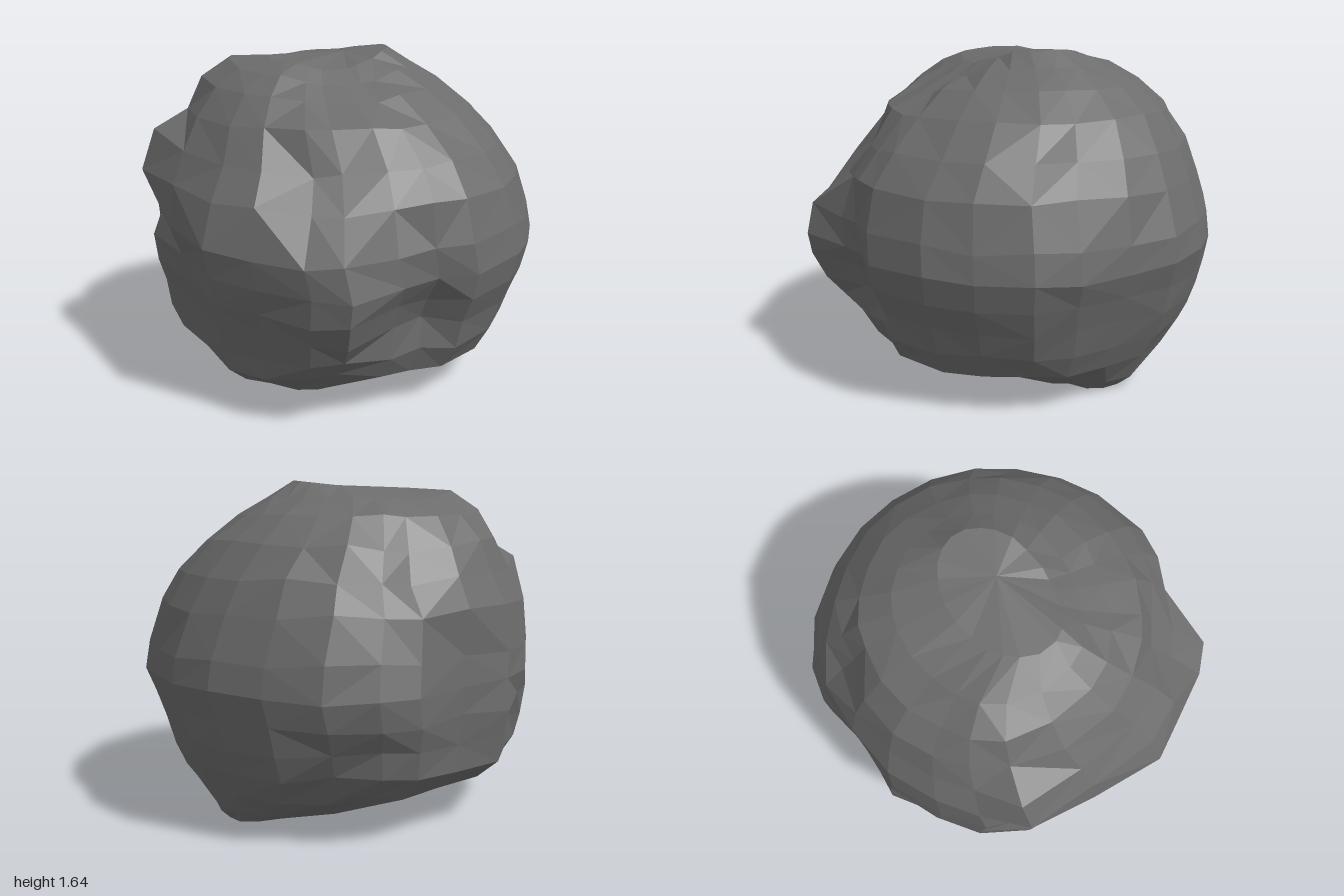
import * as THREE from 'three';

// Plan outline (x, z), counterclockwise seen from above
const OUTLINE = [
  [0.19, 1.0], [0.42, 0.91], [0.68, 0.82], [0.83, 0.72], [0.82, 0.4], [0.86, 0.22],
  [0.95, 0.05], [0.92, -0.28], [0.82, -0.5], [0.67, -0.72], [0.5, -0.84], [0.25, -0.92],
  [0, -1], [-0.25, -0.98], [-0.5, -0.88], [-0.73, -0.74], [-0.88, -0.55], [-0.94, -0.36],
  [-0.91, -0.05], [-0.95, 0.25], [-0.85, 0.52], [-0.72, 0.72], [-0.52, 0.87], [-0.18, 0.91],
];

// Horizontal sections: y, x min, x max, z min, z max
const SECTIONS = [
  [0.03, -0.27, 0.27, -0.68, 0.38],
  [0.08, -0.48, 0.45, -0.74, 0.72],
  [0.2, -0.78, 0.76, -0.82, 0.86],
  [0.32, -0.91, 0.83, -0.88, 0.88],
  [0.45, -0.93, 0.87, -0.92, 0.91],
  [0.58, -0.95, 0.92, -0.96, 0.95],
  [0.71, -0.95, 0.95, -1.0, 0.97],
  [0.85, -0.94, 0.93, -0.98, 1.0],
  [1.05, -0.93, 0.88, -0.91, 0.94],
  [1.2, -0.88, 0.77, -0.84, 0.84],
  [1.35, -0.82, 0.61, -0.72, 0.74],
  [1.47, -0.7, 0.45, -0.57, 0.62],
  [1.55, -0.54, 0.3, -0.42, 0.5],
  [1.6, -0.3, 0.17, -0.28, 0.38],
];

// Local bumps and hollows: centre x, y, z, radius, outward push
const FEATURES = [
  // Sharp front corner with hollows above and behind it
  [0.62, 1.1, 0.58, 0.36, -0.09],
  [0.85, 0.5, 0.25, 0.24, -0.05],
  // Overhanging front shoulder with a recess below it
  [-0.52, 1.13, 0.74, 0.25, 0.1],
  [-0.55, 0.9, 0.8, 0.2, -0.06],
  [-0.85, 0.45, 0.45, 0.22, -0.05],
  // Raised front of the crown with a step down beside it
  [-0.4, 1.5, 0.42, 0.28, 0.05],
  [0.28, 1.5, 0.25, 0.32, -0.05],
  // Side notch and rear ledges
  [-0.74, 1.26, -0.2, 0.26, -0.07],
  [0.55, 1.2, -0.55, 0.22, -0.03],
  [-0.75, 0.35, -0.5, 0.35, -0.05],
  // Summit and foot
  [0, 1.62, -0.2, 0.25, 0.04],
  [0, 0.03, -0.6, 0.25, 0.03],
];

// Flat undercut beneath the front corner
const UNDERCUT = new THREE.Plane().setFromCoplanarPoints(
  new THREE.Vector3(0.82, 0.57, 0.72),
  new THREE.Vector3(0.4, 0.28, 0.88),
  new THREE.Vector3(0.82, 0.27, 0.28),
);

function seeded(seed) {
  return () => {
    seed = (seed * 16807) % 2147483647;
    return seed / 2147483647 - 0.5;
  };
}

function boulderGeometry() {
  const random = seeded(71);
  const positions = [], index = [];
  const n = OUTLINE.length, rows = SECTIONS.length;
  const push = new THREE.Vector3(), spot = new THREE.Vector3(), p = new THREE.Vector3();

  SECTIONS.forEach(([y, x0, x1, z0, z1]) => {
    // The angular plan softens to an ellipse towards the crown
    const round = THREE.MathUtils.smoothstep(y, 0.6, 1.3);
    for (const [ox, oz] of OUTLINE) {
      const angle = Math.atan2(ox / 0.95, oz);
      const u = THREE.MathUtils.lerp(ox / 0.95, Math.sin(angle), round);
      const v = THREE.MathUtils.lerp(oz, Math.cos(angle), round);
      p.set((x0 + x1) / 2 + u * (x1 - x0) / 2, y, (z0 + z1) / 2 + v * (z1 - z0) / 2);
      push.set(p.x, p.y - 0.8, p.z).normalize();
      let amount = random() * 0.012;
      for (const [fx, fy, fz, r, a] of FEATURES) {
        amount += a * (1 - THREE.MathUtils.smoothstep(p.distanceTo(spot.set(fx, fy, fz)), r * 0.4, r));
      }
      p.addScaledVector(push, amount);
      p.y += random() * (y > 0.15 && y < 1.4 ? 0.03 : 0.006);
      p.addScaledVector(UNDERCUT.normal, -Math.max(0, UNDERCUT.distanceToPoint(p)));
      positions.push(p.x, p.y, p.z);
    }
  });
  positions.push(0, 0.02, -0.12, -0.03, 1.62, -0.02);

  for (let i = 0; i < rows - 1; i++) {
    for (let j = 0; j < n; j++) {
      const k = (j + 1) % n;
      const a = i * n + j, b = i * n + k, c = a + n, d = b + n;
      // Alternate the diagonals irregularly
      if (random() > 0) index.push(a, b, d, a, d, c);
      else index.push(a, b, c, b, d, c);
    }
  }
  // Underside and crown
  for (let j = 0; j < n; j++) {
    const k = (j + 1) % n, top = (rows - 1) * n;
    index.push(rows * n, k, j, top + j, top + k, rows * n + 1);
  }

  const geometry = new THREE.BufferGeometry();
  geometry.setAttribute('position', new THREE.Float32BufferAttribute(positions, 3));
  geometry.setIndex(index);

  // Stand it on the ground, centred
  geometry.computeBoundingBox();
  const centre = geometry.boundingBox.getCenter(new THREE.Vector3());
  geometry.translate(-centre.x, -geometry.boundingBox.min.y, -centre.z);

  const faceted = geometry.toNonIndexed();
  faceted.computeVertexNormals();
  return faceted;
}

export function createModel() {
  const stone = new THREE.MeshStandardMaterial({ color: 0x6c6c6c });
  stone.name = 'dark grey stone';
  const boulder = new THREE.Mesh(boulderGeometry(), stone);
  boulder.name = 'boulder';
  const group = new THREE.Group();
  group.name = 'rock';
  group.add(boulder);
  return group;
}
